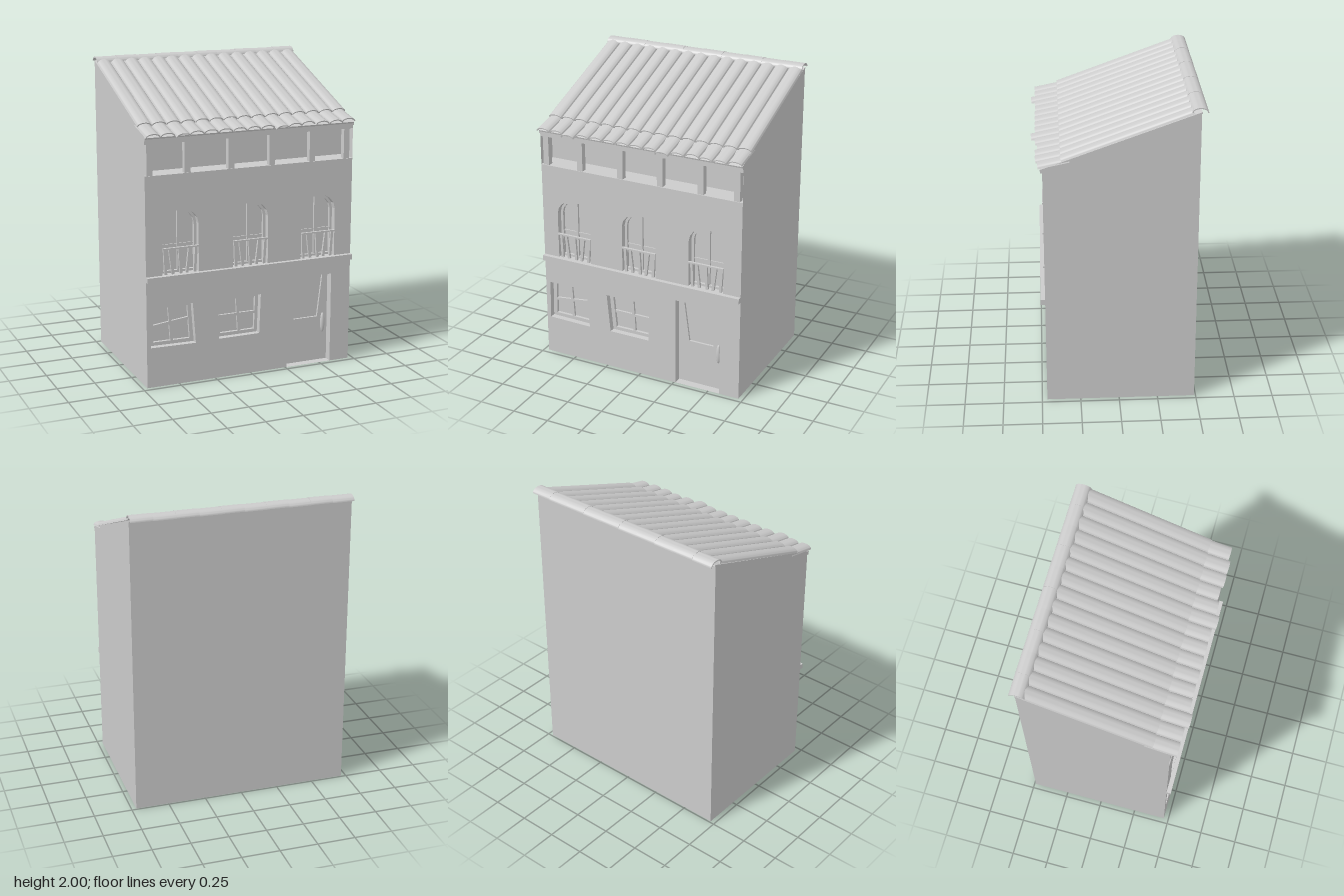
import * as THREE from 'three';
import { toCreasedNormals } from 'three/addons/utils/BufferGeometryUtils.js';

const grey = new THREE.MeshStandardMaterial({ color: 0xcccccc, side: THREE.DoubleSide });
const W = 0.718, FRONT = 0.467, BACK = -0.49, EAVE = 1.62, TOP = 1.965;

const pts = (...list) => list.map(([x, y]) => new THREE.Vector2(x, y));
const rect = (x0, y0, x1, y1) => pts([x0, y0], [x1, y0], [x1, y1], [x0, y1]);

function add(parent, name, geo, x = 0, y = 0, z = 0) {
  const mesh = new THREE.Mesh(geo, grey);
  mesh.name = name;
  mesh.position.set(x, y, z);
  parent.add(mesh);
  return mesh;
}

function box(parent, name, x0, x1, y0, y1, z0, z1) {
  return add(parent, name, new THREE.BoxGeometry(x1 - x0, y1 - y0, z1 - z0),
    (x0 + x1) / 2, (y0 + y1) / 2, (z0 + z1) / 2);
}

// Flat bar of the given width from a to b, tilted in the facade plane
function bar(parent, name, a, b, width, z, depth = 0.015) {
  const dx = b[0] - a[0], dy = b[1] - a[1];
  const mesh = add(parent, name, new THREE.BoxGeometry(Math.hypot(dx, dy), width, depth),
    (a[0] + b[0]) / 2, (a[1] + b[1]) / 2, z);
  mesh.rotation.z = Math.atan2(dy, dx);
  return mesh;
}

// Strip of jambs joining the wall opening to the recessed pane
function lining(outline, depth) {
  const pos = [];
  outline.forEach((a, i) => {
    const b = outline[(i + 1) % outline.length];
    pos.push(a.x, a.y, 0, b.x, b.y, 0, b.x, b.y, -depth, a.x, a.y, 0, b.x, b.y, -depth, a.x, a.y, -depth);
  });
  const geo = new THREE.BufferGeometry();
  geo.setAttribute('position', new THREE.Float32BufferAttribute(pos, 3));
  geo.computeVertexNormals();
  return geo;
}

function recess(parent, name, outline, depth) {
  add(parent, name + 'Jambs', lining(outline, depth), 0, 0, FRONT);
  add(parent, name + 'Pane', new THREE.ShapeGeometry(new THREE.Shape(outline)), 0, 0, FRONT - depth);
}

function frame(parent, name, outer, inner, z, depth = 0.02) {
  const shape = new THREE.Shape(outer);
  shape.holes.push(new THREE.Path(inner));
  add(parent, name, new THREE.ExtrudeGeometry(shape, { depth, bevelEnabled: false }), 0, 0, z);
}

// Row of small round lace dots
function lace(parent, a, b, count, z) {
  for (let i = 0; i < count; i++) {
    const t = (i + 0.5) / count;
    add(parent, 'laceDot', new THREE.CircleGeometry(0.007, 8),
      a[0] + (b[0] - a[0]) * t, a[1] + (b[1] - a[1]) * t, z);
  }
}

// Arched outline: straight jambs with an elliptical head
function arch(cx, half, y0, spring, rise) {
  const out = pts([cx - half, y0], [cx + half, y0]);
  for (let i = 0; i <= 8; i++) {
    const t = i / 8 * Math.PI;
    out.push(new THREE.Vector2(cx + half * Math.cos(t), spring + rise * Math.sin(t)));
  }
  return out;
}

// Curved roof tile: half-ellipse band extruded along z
function tileGeometry(rx, ry, length) {
  const shape = new THREE.Shape();
  shape.absellipse(0, 0, rx, ry, 0, Math.PI, false);
  shape.absellipse(0, 0, rx - 0.007, ry - 0.007, Math.PI, 0, true);
  const geo = new THREE.ExtrudeGeometry(shape, { depth: length, bevelEnabled: false, curveSegments: 8 });
  return toCreasedNormals(geo, 0.8);
}

// Tile running down the roof between two (z, y) points
function roofTile(parent, name, x, a, b) {
  const dz = b[0] - a[0], dy = b[1] - a[1];
  const mesh = add(parent, name, tileGeometry(0.048, 0.025, Math.hypot(dz, dy)), x, a[1], a[0]);
  mesh.rotation.x = Math.atan2(-dy, dz);
}

export function createModel() {
  const house = new THREE.Group();
  house.name = 'townHouse';

  // Openings in the facade
  const lowWindows = [
    { outer: pts([-0.69, 0.265], [-0.385, 0.26], [-0.405, 0.53], [-0.685, 0.53]),
      inner: pts([-0.662, 0.287], [-0.412, 0.285], [-0.427, 0.508], [-0.66, 0.508]),
      bars: [[[-0.55, 0.51], [-0.535, 0.285]], [[-0.662, 0.39], [-0.415, 0.42]]] },
    { outer: pts([-0.225, 0.265], [0.06, 0.265], [0.07, 0.53], [-0.25, 0.53]),
      inner: pts([-0.2, 0.287], [0.04, 0.287], [0.047, 0.508], [-0.222, 0.508]),
      bars: [[[-0.08, 0.51], [-0.065, 0.285]], [[-0.21, 0.4], [0.045, 0.4]]] },
  ];
  const archCentres = [-0.485, -0.005, 0.475];
  const archOuter = (cx) => arch(cx, 0.122, 0.735, 1.05, 0.105);

  // Front wall, with the door cut from its lower edge
  const wall = new THREE.Shape(pts([-W, 0], [0.26, 0], [0.26, 0.61], [0.58, 0.61], [0.58, 0], [W, 0], [W, 1.38], [-W, 1.38]));
  lowWindows.forEach((w) => wall.holes.push(new THREE.Path(w.outer)));
  archCentres.forEach((cx) => wall.holes.push(new THREE.Path(archOuter(cx))));
  add(house, 'frontWall', new THREE.ShapeGeometry(wall), 0, 0, FRONT);

  // Side and back walls, open underneath
  const side = new THREE.Shape(pts([FRONT, 0], [FRONT, EAVE], [BACK, TOP], [BACK, 0]));
  for (const s of [-1, 1]) add(house, 'sideWall', new THREE.ShapeGeometry(side), s * W).rotation.y = -Math.PI / 2;
  add(house, 'backWall', new THREE.PlaneGeometry(2 * W, TOP), 0, TOP / 2, BACK).rotation.y = Math.PI;

  // Ground-floor windows
  lowWindows.forEach((w) => {
    const g = new THREE.Group();
    g.name = 'groundFloorWindow';
    house.add(g);
    recess(g, 'window', w.outer, 0.06);
    frame(g, 'windowFrame', w.outer, w.inner, FRONT - 0.06);
    w.bars.forEach(([a, b]) => bar(g, 'glazingBar', a, b, 0.018, FRONT - 0.05));
  });

  // Door with tapered glass and oval handle
  const door = new THREE.Group();
  door.name = 'frontDoor';
  house.add(door);
  const doorZ = FRONT - 0.06;
  recess(door, 'door', rect(0.26, 0, 0.58, 0.61), 0.07);
  frame(door, 'doorLeaf', rect(0.26, 0, 0.58, 0.61),
    pts([0.335, 0.305], [0.508, 0.305], [0.543, 0.6], [0.295, 0.6]), doorZ - 0.01, 0.015);
  lace(door, [0.497, 0.32], [0.528, 0.59], 10, doorZ - 0.006);
  add(door, 'doorHandle', new THREE.SphereGeometry(1, 12, 10), 0.547, 0.26, doorZ + 0.008).scale.set(0.016, 0.068, 0.014);

  // Arched windows with leaning balusters
  archCentres.forEach((cx) => {
    const g = new THREE.Group();
    g.name = 'archedWindow';
    house.add(g);
    const z = FRONT - 0.06;
    recess(g, 'window', archOuter(cx), 0.06);
    frame(g, 'archFrame', archOuter(cx), arch(cx, 0.105, 0.75, 1.05, 0.088), z);
    bar(g, 'mullion', [cx, 0.75], [cx, 1.138], 0.014, z + 0.01);
    bar(g, 'curtainRail', [cx - 0.105, 0.915], [cx + 0.105, 0.915], 0.01, z + 0.005, 0.008);
    lace(g, [cx - 0.105, 0.904], [cx + 0.105, 0.904], 10, z + 0.006);
    bar(g, 'handrail', [cx - 0.122, 0.905], [cx + 0.122, 0.905], 0.01, FRONT, 0.016);
    [[-0.105, -0.098], [-0.07, -0.05], [-0.005, 0.005], [0.065, 0.045], [0.108, 0.098]].forEach(([t, b]) =>
      bar(g, 'baluster', [cx + b, 0.735], [cx + t, 0.902], 0.017, FRONT - 0.012, 0.016));
  });

  // Cornice between the floors
  box(house, 'cornice', -W, W, 0.7, 0.735, FRONT - 0.01, 0.496);

  // Top gallery: floor, back wall, ceiling, posts and beam
  const gallery = new THREE.Group();
  gallery.name = 'gallery';
  house.add(gallery);
  const deep = FRONT - 0.14;
  box(gallery, 'galleryFloor', -W, W, 1.37, 1.38, deep, FRONT);
  box(gallery, 'galleryBack', -W, W, 1.37, 1.64, deep - 0.01, deep);
  box(gallery, 'galleryBeam', -W, W, 1.577, 1.6, FRONT - 0.14, FRONT);
  box(gallery, 'eaveBoard', -W, W, 1.6, 1.618, FRONT - 0.03, FRONT + 0.012);
  [-0.683, -0.432, -0.137, 0.146, 0.43, 0.677].forEach((x) =>
    box(gallery, 'galleryPost', x - 0.02, x + 0.02, 1.38, 1.577, FRONT - 0.045, FRONT - 0.005));

  // Roof deck
  const roof = new THREE.Group();
  roof.name = 'roof';
  house.add(roof);
  const slope = Math.atan2(TOP - EAVE, FRONT - BACK);
  add(roof, 'roofDeck', new THREE.BoxGeometry(2 * W, 0.01, Math.hypot(TOP - EAVE, FRONT - BACK) + 0.02),
    0, (EAVE + TOP) / 2, (FRONT + BACK) / 2 + 0.005).rotation.x = slope;

  // Long tiles over a short, uneven eave row
  const ends = [0.505, 0.505, 0.53, 0.505, 0.502, 0.505, 0.505, 0.505, 0.505, 0.53, 0.505, 0.492, 0.505, 0.505, 0.492];
  ends.forEach((end, i) => {
    const x = (i - 7) * 0.096;
    roofTile(roof, 'eaveTile', x, [0.3, 1.668], [end, 1.668 - (end - 0.3) * 0.21]);
    roofTile(roof, 'roofTile', x, [-0.45, 1.962], [0.35, 1.67]);
  });

  // Ridge of overlapping caps
  for (let i = 0; i < 10; i++) {
    const cap = add(roof, 'ridgeTile', tileGeometry(0.05, 0.031, 0.1435), -0.718 + i * 0.1436, 1.967 + (i % 2) * 0.002, -0.482);
    cap.rotation.set(0, Math.PI / 2, 0);
  }

  return house;
}
